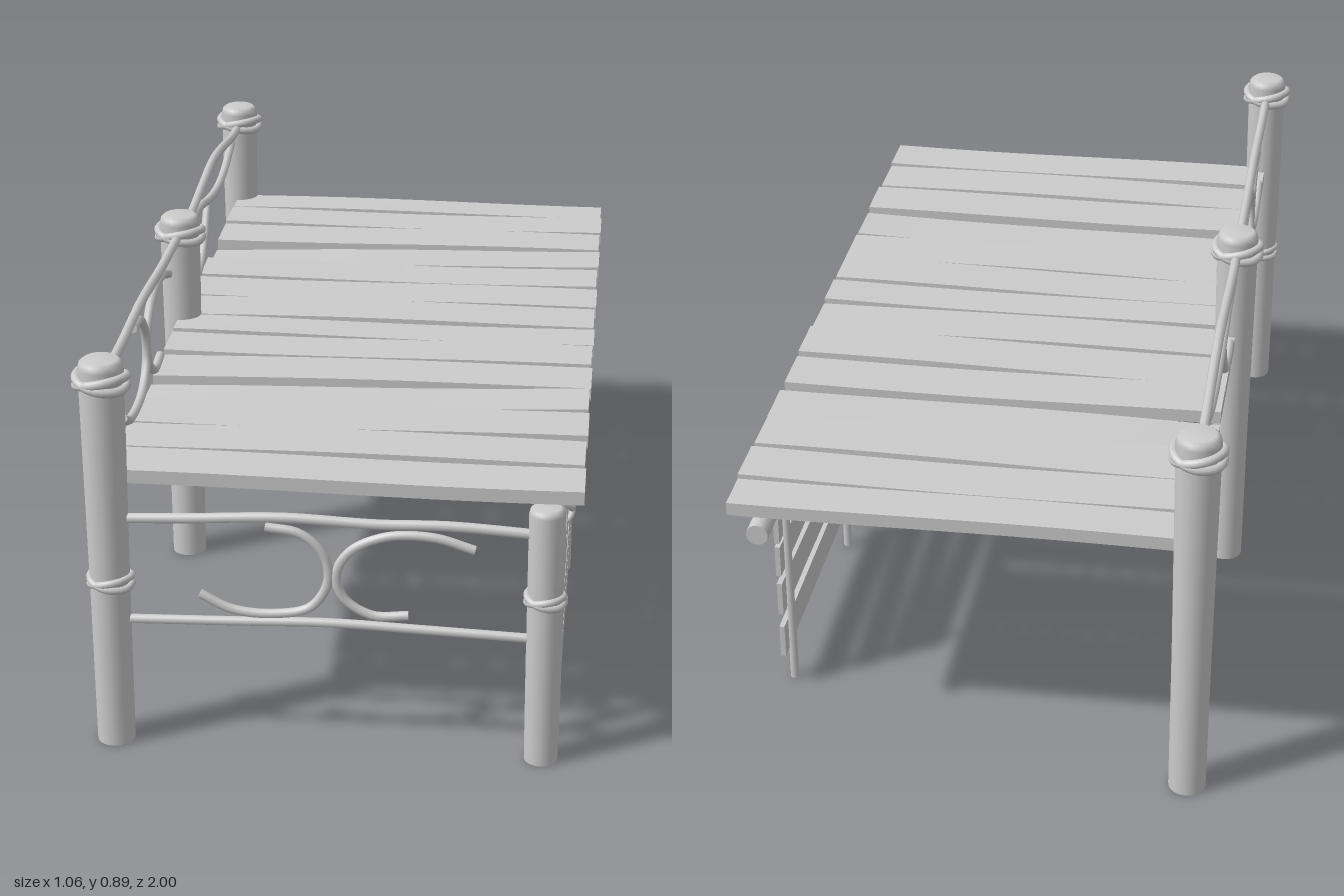
import * as THREE from 'three';

const material = new THREE.MeshStandardMaterial({ color: 0xcccccc, roughness: 0.9 });
const v = (x, y, z) => new THREE.Vector3(x, y, z);

export function createModel() {
  const root = new THREE.Group();
  root.name = 'rusticPlatform';

  const add = (name, geometry, x = 0, y = 0, z = 0) => {
    const mesh = new THREE.Mesh(geometry, material);
    mesh.name = name;
    mesh.position.set(x, y, z);
    root.add(mesh);
    return mesh;
  };

  // Upright log, slightly flared, with a rounded top
  const post = (name, x, z, height, rBottom, rTop) => {
    const e = rTop * 0.4;
    const profile = [
      [0, 0], [rBottom, 0], [rBottom, 0], [rBottom * 1.04, height * 0.4], [rTop, height - e],
      [rTop * 0.93, height - e * 0.35], [rTop * 0.75, height], [0, height],
    ].map(([r, y]) => new THREE.Vector2(r, y));
    return add(name, new THREE.LatheGeometry(profile, 20), x, 0, z);
  };

  // Bent branch swept through points
  const branch = (name, points, r) => {
    const curve = new THREE.CatmullRomCurve3(points);
    const group = new THREE.Group();
    group.name = name;
    const mesh = new THREE.Mesh(new THREE.TubeGeometry(curve, 40, r, 8), material);
    group.add(mesh);
    for (const t of [0, 1]) {
      const cap = new THREE.Mesh(new THREE.CircleGeometry(r, 8), material);
      cap.position.copy(curve.getPoint(t));
      const out = curve.getTangent(t).multiplyScalar(t ? 1 : -1);
      cap.quaternion.setFromUnitVectors(v(0, 0, 1), out);
      group.add(cap);
    }
    root.add(group);
  };

  // Rope loops, each wound around its own tilted axis
  const lashing = (name, x, y, z, radius, tube, axes) => axes.forEach((axis) => {
    const loop = add(name, new THREE.TorusGeometry(radius, tube, 8, 28), x, y, z);
    loop.quaternion.setFromUnitVectors(v(0, 0, 1), v(...axis).normalize());
  });
  const wound = [[0.22, 1, 0.12], [-0.2, 1, -0.16]];
  const crossed = [[0, 1, 1], [0, 1, -1]];

  // Tall posts along the railing side
  for (const z of [0.938, 0, -0.94]) {
    post('tallPost', -0.47, z, 0.89, 0.041, 0.048);
    lashing('postLashing', -0.47, 0.842, z, 0.053, 0.01, wound);
  }
  lashing('postLashing', -0.468, 0.385, 0.938, 0.045, 0.008, wound);

  // Short corner leg and thin posts below the open side
  post('cornerLeg', 0.455, 0.935, 0.597, 0.036, 0.038);
  lashing('legLashing', 0.455, 0.385, 0.935, 0.039, 0.008, wound);
  for (const z of [0.822, 0.008]) {
    post('thinPost', 0.47, z, 0.59, 0.021, 0.023);
    lashing('thinPostLashing', 0.47, 0.325, z, 0.026, 0.006, wound);
    lashing('beamLashing', 0.47, 0.54, z, 0.034, 0.007, crossed);
  }

  // Long support beam
  const beam = new THREE.CylinderGeometry(0.024, 0.026, 1.79, 16).rotateX(-Math.PI / 2);
  add('supportBeam', beam, 0.47, 0.54, -0.024);

  // Deck planks: [z far/near at railing end, z far/near at open end, drop at railing end]
  const planks = [
    [-0.94, -0.84, -0.94, -0.84, 0], [-0.83, -0.71, -0.83, -0.71, 0],
    [-0.7, -0.565, -0.695, -0.572, 0], [-0.545, -0.42, -0.57, -0.45, 0.024],
    [-0.41, -0.285, -0.42, -0.295, 0], [-0.28, -0.15, -0.272, -0.145, 0],
    [-0.138, -0.012, -0.145, -0.018, 0], [0.002, 0.1, 0.002, 0.105, 0],
    [0.112, 0.23, 0.115, 0.233, 0], [0.24, 0.37, 0.24, 0.365, 0.008],
    [0.395, 0.518, 0.37, 0.492, 0.026], [0.528, 0.66, 0.52, 0.647, 0],
    [0.663, 0.788, 0.667, 0.793, 0], [0.805, 0.925, 0.81, 0.93, 0],
  ];
  planks.forEach(([a0, a1, b0, b1, drop], i) => {
    const geometry = new THREE.BoxGeometry(1, 1, 1, 10, 1, 1);
    const p = geometry.attributes.position;
    for (let k = 0; k < p.count; k++) {
      const t = p.getX(k) + 0.5;
      const s = p.getZ(k) + 0.5;
      const z0 = a0 + (b0 - a0) * t, z1 = a1 + (b1 - a1) * t;
      const warp = 0.003 * Math.sin(t * 5 + i * 2) - drop * (1 - t);
      p.setXYZ(k, -0.475 + t * (1.002 + 0.003 * (i % 2)),
        0.617 + p.getY(k) * 0.03 + warp, z0 + (z1 - z0) * s);
    }
    geometry.computeVertexNormals();
    add('deckPlank', geometry);
  });

  // Slatted side panels: [bottom, top] at the front edge, then at the back edge
  const panels = [
    { front: 0.745, back: 0.1, sticks: [0.703, 0.14], slats: [
      [0.4, 0.48, 0.414, 0.497], [0.273, 0.36, 0.315, 0.403],
      [0.182, 0.262, 0.17, 0.25], [0.088, 0.165, 0.085, 0.165]] },
    { front: -0.075, back: -0.722, sticks: [-0.115, -0.68], slats: [
      [0.417, 0.502, 0.39, 0.47], [0.303, 0.38, 0.303, 0.38],
      [0.187, 0.267, 0.2, 0.282], [0.085, 0.165, 0.085, 0.165]] },
  ];
  for (const { front, back, sticks, slats } of panels) {
    for (const z of sticks) {
      add('panelStick', new THREE.CylinderGeometry(0.009, 0.01, 0.53, 8), 0.47, 0.265, z);
    }
    for (const [f0, f1, b0, b1] of slats) {
      // Outline lies in (-z, y) and is turned to face the open side
      const shape = new THREE.Shape([[-front, f0], [-back, b0], [-back, b1], [-front, f1]]
        .map(([a, b]) => new THREE.Vector2(a, b)));
      const slat = new THREE.ExtrudeGeometry(shape, { depth: 0.012, bevelEnabled: false });
      add('panelSlat', slat.rotateY(Math.PI / 2), 0.477, 0, 0);
    }
  }

  // Front rails and curled branches, given as (x, y)
  const frontBranch = (name, points, r) => branch(name, points.map(([x, y]) => v(x, y, 0.937)), r);
  frontBranch('frontRail', [[-0.46, 0.528], [-0.3, 0.535], [-0.1, 0.546], [0.1, 0.54], [0.25, 0.543], [0.455, 0.532]], 0.0115);
  frontBranch('frontRail', [[-0.46, 0.291], [-0.2, 0.298], [0, 0.304], [0.2, 0.298], [0.455, 0.289]], 0.0105);
  frontBranch('frontScroll', [[-0.135, 0.523], [-0.06, 0.51], [-0.01, 0.46], [-0.003, 0.4],
    [-0.04, 0.34], [-0.12, 0.32], [-0.21, 0.327], [-0.277, 0.36]], 0.0105);
  frontBranch('frontScroll', [[0.307, 0.49], [0.22, 0.515], [0.12, 0.512], [0.045, 0.475],
    [0.015, 0.42], [0.03, 0.365], [0.09, 0.327], [0.168, 0.33]], 0.0105);

  // Railing branches, given as (z, y)
  const sideBranch = (name, points, r) => branch(name, points.map(([z, y]) => v(-0.47, y, z)), r);
  sideBranch('topRail', [[0.99, 0.838], [0.75, 0.838], [0.5, 0.85], [0.25, 0.842], [0, 0.842], [-0.13, 0.838],
    [-0.3, 0.855], [-0.48, 0.872], [-0.66, 0.858], [-0.8, 0.84], [-0.98, 0.838]], 0.011);
  sideBranch('railScroll', [[0.6, 0.825], [0.52, 0.815], [0.466, 0.765], [0.46, 0.7],
    [0.51, 0.65], [0.59, 0.634], [0.68, 0.642], [0.742, 0.672]], 0.0105);
  sideBranch('railScroll', [[0.167, 0.797], [0.25, 0.823], [0.35, 0.822], [0.425, 0.785],
    [0.456, 0.725], [0.43, 0.67], [0.37, 0.638], [0.3, 0.645]], 0.0105);
  sideBranch('railBranch', [[-0.12, 0.823], [-0.28, 0.815], [-0.42, 0.79], [-0.54, 0.78],
    [-0.66, 0.79], [-0.79, 0.827]], 0.0105);
  sideBranch('railTwig', [[-0.39, 0.787], [-0.345, 0.73], [-0.29, 0.68], [-0.21, 0.658], [-0.137, 0.667]], 0.0105);

  return root;
}
